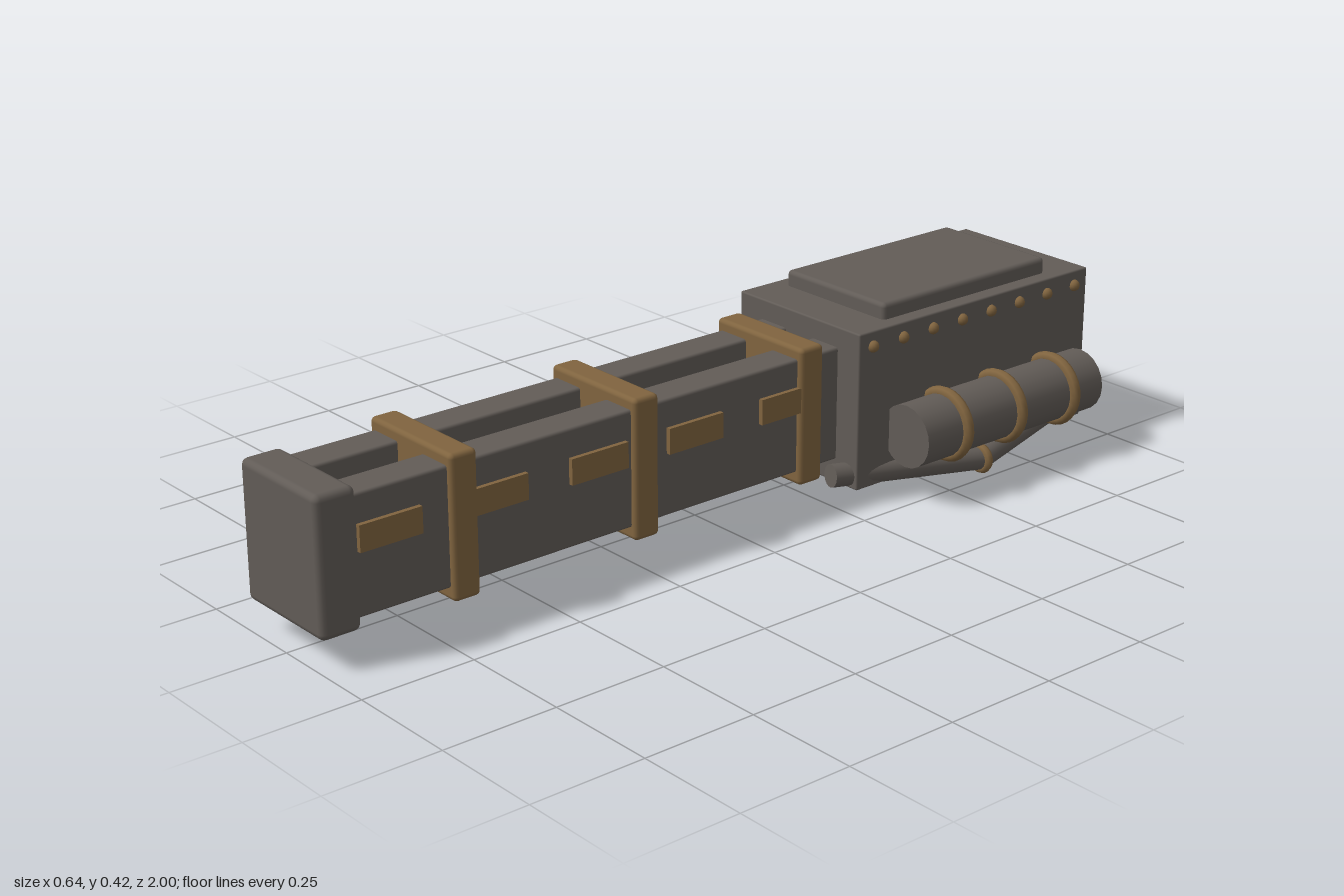
import * as THREE from 'three';
import { RoundedBoxGeometry } from 'three/addons/geometries/RoundedBoxGeometry.js';

export function createModel() {
  const root = new THREE.Group();
  root.name = 'railCannon';
  const mat = (name, color) => {
    const m = new THREE.MeshStandardMaterial({ color });
    m.name = name;
    return m;
  };
  const steel = mat('darkSteel', 0x625c57);
  const brass = mat('agedBrass', 0x80643f);
  const glow = mat('hotOrange', 0xd0702f);

  const add = (name, geo, material, x = 0, y = 0, z = 0) => {
    const m = new THREE.Mesh(geo, material);
    m.name = name;
    m.position.set(x, y, z);
    root.add(m);
    return m;
  };
  // Box given by its limits on each axis, with optional rounded edges
  const block = (name, material, [x0, x1], [y0, y1], [z0, z1], r = 0) => {
    const s = [x1 - x0, y1 - y0, z1 - z0];
    const geo = r ? new RoundedBoxGeometry(...s, 2, r) : new THREE.BoxGeometry(...s);
    return add(name, geo, material, (x0 + x1) / 2, (y0 + y1) / 2, (z0 + z1) / 2);
  };
  // Closed rod between two points
  const rod = (name, material, a, b, r) => {
    const d = b.clone().sub(a);
    const m = add(name, new THREE.CylinderGeometry(r, r, d.length(), 20), material);
    m.position.copy(a).addScaledVector(d, 0.5);
    m.quaternion.setFromUnitVectors(new THREE.Vector3(0, 1, 0), d.normalize());
    return m;
  };

  // Barrel: twin rails, glowing core, muzzle cap and clamps
  for (const s of [-1, 1]) {
    block('rail', steel, [s * 0.08 - 0.04, s * 0.08 + 0.04], [0.09, 0.34], [-0.3, 0.93], 0.006);
  }
  block('glowingCore', glow, [-0.03, 0.03], [0.185, 0.245], [-0.3, 0.93]);
  block('muzzleCap', steel, [-0.128, 0.127], [0.068, 0.358], [0.91, 1], 0.014);
  for (const z of [0.675, 0.235, -0.205]) {
    block('barrelClamp', brass, [-0.133, 0.133], [0.062, 0.364], [z - 0.031, z + 0.031], 0.01);
  }

  // Contact plates along both rails
  for (const s of [-1, 1]) {
    for (let i = 0; i < 5; i++) {
      const z = 0.84 - i * 0.245;
      block('contactPlate', brass, [s * 0.123 - 0.007, s * 0.123 + 0.007], [0.225, 0.28], [z - 0.07, z + 0.07]);
    }
  }

  // Receiver housing with its cover and rear plate
  block('receiver', steel, [-0.186, 0.185], [0.038, 0.385], [-0.975, -0.287], 0.004);
  block('topCover', steel, [-0.151, 0.15], [0.36, 0.42], [-0.875, -0.388], 0.01);
  block('rearPlate', steel, [-0.14, 0.139], [0.015, 0.27], [-1, -0.73], 0.016);

  // Bolt rows, side canisters and their bands
  for (const s of [-1, 1]) {
    for (let i = 0; i < 8; i++) {
      const bolt = add('bolt', new THREE.SphereGeometry(0.013, 12, 8), brass, s * 0.186, 0.352, -0.325 - i * 0.087);
      bolt.scale.x = 0.95;
    }
    const x = s * 0.235;
    rod('canister', steel, new THREE.Vector3(x, 0.153, -0.91), new THREE.Vector3(x, 0.153, -0.378), 0.069);
    for (const z of [-0.492, -0.655, -0.82]) {
      add('canisterBand', new THREE.TorusGeometry(0.07, 0.013, 8, 28), brass, x, 0.153, z);
    }
  }

  // Bent hose under the left side, with a collar at the bend
  const bend = new THREE.Vector3(0.222, 0.037, -0.62);
  rod('hoseFront', steel, new THREE.Vector3(0.145, 0.07, -0.25), bend, 0.025);
  rod('hoseRear', steel, bend, new THREE.Vector3(0.165, 0.072, -0.93), 0.025);
  add('hoseElbow', new THREE.SphereGeometry(0.025, 20, 12), steel).position.copy(bend);
  add('hoseCollar', new THREE.TorusGeometry(0.024, 0.01, 8, 24), brass).position.copy(bend);

  // Valve wheel on the right side
  const wheel = add('valveWheel', new THREE.TorusGeometry(0.05, 0.01, 8, 28), brass, -0.195, 0.23, -0.748);
  wheel.rotation.y = Math.PI / 2;
  for (const a of [Math.PI / 4, -Math.PI / 4]) {
    const spoke = add('valveSpoke', new THREE.BoxGeometry(0.008, 0.1, 0.01), steel, -0.196, 0.23, -0.748);
    spoke.rotation.x = a;
  }
  rod('valveHub', steel, new THREE.Vector3(-0.18, 0.23, -0.748), new THREE.Vector3(-0.208, 0.23, -0.748), 0.016);

  return root;
}
